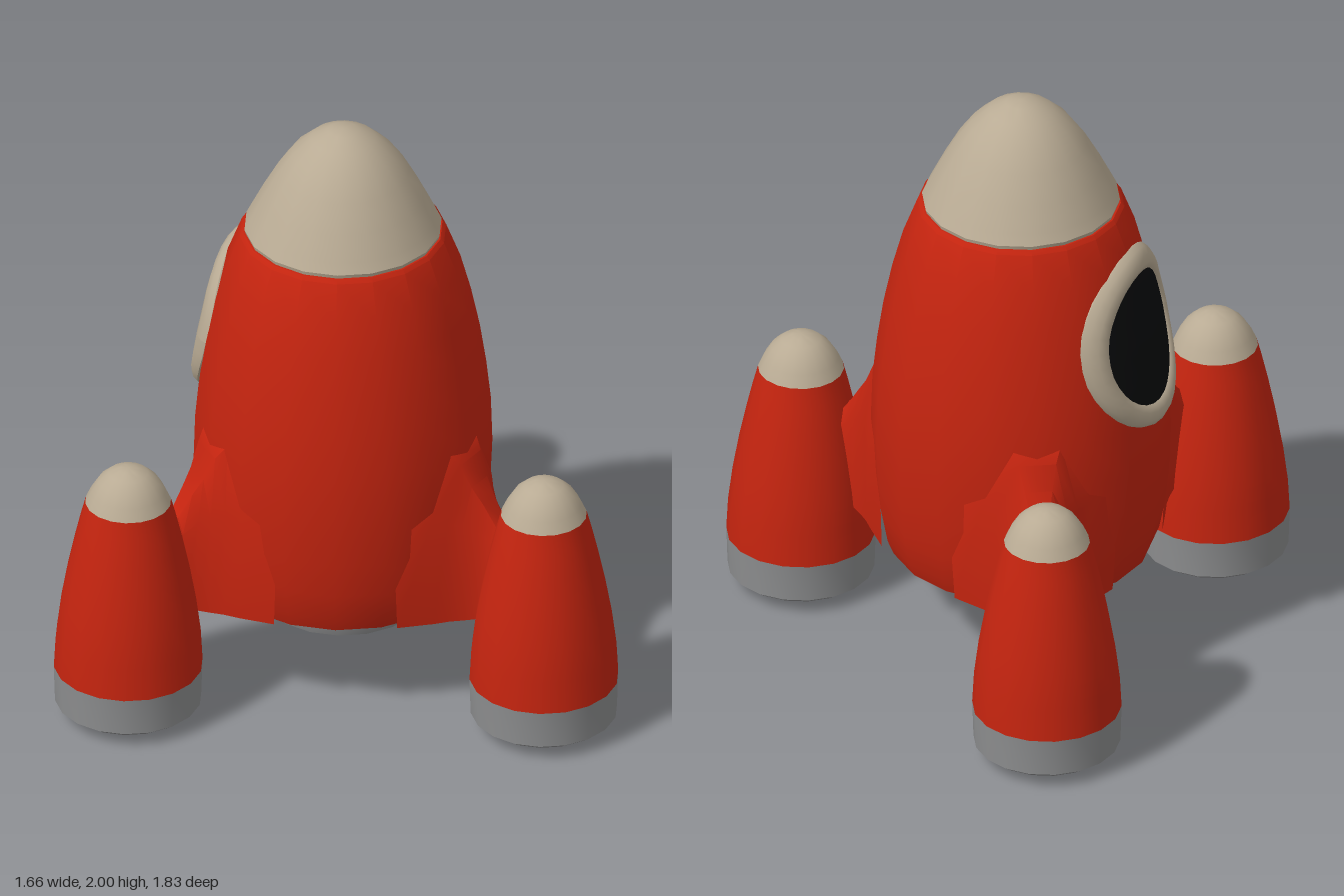
import * as THREE from 'three';
import { toCreasedNormals } from 'three/addons/utils/BufferGeometryUtils.js';

const SIDES = 18;
const AXIS_X = -0.2; // main hull axis
const WINDOW_Y = 1.21;

const material = (name, color, side = THREE.FrontSide) => {
  const m = new THREE.MeshStandardMaterial({ color, side });
  m.name = name;
  return m;
};

// Hull outline [radius, height], bottom to top
const HULL = [
  [0.43, 0.35], [0.45, 0.4], [0.469, 0.5], [0.481, 0.62], [0.488, 0.78], [0.483, 0.94],
  [0.468, 1.08], [0.447, 1.22], [0.418, 1.36], [0.383, 1.49], [0.337, 1.61],
];

function hullRadius(y) {
  for (let i = 1; i < HULL.length; i++) {
    const [r0, y0] = HULL[i - 1], [r1, y1] = HULL[i];
    if (y <= y1) return r0 + (r1 - r0) * (y - y0) / (y1 - y0);
  }
  return HULL[HULL.length - 1][0];
}

function addMesh(parent, name, geometry, mat) {
  const mesh = new THREE.Mesh(geometry, mat);
  mesh.name = name;
  parent.add(mesh);
  return mesh;
}

function lathe(points) {
  const profile = points.map(([r, y]) => new THREE.Vector2(r, y));
  return toCreasedNormals(new THREE.LatheGeometry(profile, SIDES, Math.PI / 2), 0.5);
}

// Wrap a flat shape (facing +z) onto the hull's -x side
function wrapOnHull(geometry) {
  const p = geometry.attributes.position;
  for (let i = 0; i < p.count; i++) {
    const z = p.getX(i) * 0.95, y = p.getY(i) + WINDOW_Y, lift = p.getZ(i);
    const r = hullRadius(y);
    p.setXYZ(i, -Math.sqrt(r * r - z * z) - lift, y, z);
  }
  geometry.computeVertexNormals();
  return geometry;
}

// Flared strut lofted outward from hull to booster
function strutGeometry() {
  // [distance, half width, bottom, shoulder, top]
  const sections = [
    [0.38, 0.28, 0.355, 0.72, 0.99],
    [0.46, 0.18, 0.35, 0.74, 0.96],
    [0.495, 0.135, 0.35, 0.73, 0.91],
    [0.53, 0.1, 0.35, 0.71, 0.83],
    [0.565, 0.075, 0.355, 0.69, 0.775],
    [0.61, 0.057, 0.36, 0.65, 0.7],
    [0.68, 0.05, 0.37, 0.6, 0.65],
  ];
  const position = [], index = [];
  sections.forEach(([d, w, y0, ym, y1], i) => {
    const b = w * 0.92, t = w * 0.45;
    [[b, y0], [-b, y0], [-w, ym], [-t, y1], [t, y1], [w, ym]].forEach(([z, y], j) => {
      position.push(d, y, z);
      if (i === sections.length - 1) return;
      const a = i * 6 + j, n = i * 6 + (j + 1) % 6;
      index.push(a, n, a + 6, n, n + 6, a + 6);
    });
  });
  const g = new THREE.BufferGeometry();
  g.setAttribute('position', new THREE.Float32BufferAttribute(position, 3));
  g.setIndex(index);
  return toCreasedNormals(g, 0.7);
}

export function createModel() {
  const red = material('red paint', 0xc4240f);
  const cream = material('cream paint', 0xb9ab94);
  const grey = material('grey metal', 0x8c8d8e);
  const black = material('black glass', 0x090b0c, THREE.DoubleSide);

  const model = new THREE.Group();
  model.name = 'rocket';
  const rocket = new THREE.Group();
  rocket.name = 'rocketAssembly';
  rocket.position.x = AXIS_X;
  model.add(rocket);

  // Main hull and nose
  addMesh(rocket, 'hull', lathe([[0.4, 0.35], ...HULL, [0.325, 1.622], [0.29, 1.622]]), red);
  addMesh(rocket, 'noseCone', lathe([
    [0.29, 1.618], [0.318, 1.62], [0.322, 1.635], [0.305, 1.67], [0.265, 1.75],
    [0.215, 1.84], [0.165, 1.91], [0.105, 1.965], [0.05, 1.993], [0, 2],
  ]), cream);

  // Recessed underside and main engine
  addMesh(rocket, 'undersideRecess', lathe([[0, 0.42], [0.33, 0.42], [0.402, 0.35]]), grey);
  addMesh(rocket, 'mainNozzle', lathe([
    [0, 0.34], [0.15, 0.34], [0.18, 0.23], [0.268, 0.23], [0.275, 0.25], [0.295, 0.36], [0.295, 0.43],
  ]), grey);

  // Round window
  addMesh(rocket, 'windowFrame',
    wrapOnHull(new THREE.TorusGeometry(0.26, 0.042, 10, 32).scale(1, 1, 0.75)), cream);
  addMesh(rocket, 'windowGlass',
    wrapOnHull(new THREE.RingGeometry(0.001, 0.25, 32, 6).translate(0, 0, 0.014)), black);

  // Three boosters on struts
  const boosterBody = lathe([
    [0.243, 0.18], [0.237, 0.29], [0.222, 0.41], [0.201, 0.53], [0.178, 0.64], [0.157, 0.73], [0.14, 0.795],
  ]);
  const boosterNose = lathe([
    [0.14, 0.795], [0.122, 0.835], [0.097, 0.875], [0.065, 0.903], [0.03, 0.917], [0, 0.921],
  ]);
  const boosterBase = lathe([
    [0.12, 0.06], [0.155, 0.06], [0.165, 0.028], [0.205, 0.028], [0.239, 0.052], [0.243, 0.18],
  ]);
  const boosterNozzle = lathe([[0, 0.05], [0.06, 0.05], [0.07, 0], [0.115, 0], [0.125, 0.02], [0.125, 0.062]]);
  const strut = strutGeometry();
  for (let i = 0; i < 3; i++) {
    const arm = new THREE.Group();
    arm.name = `boosterArm${i + 1}`;
    arm.rotation.y = i * Math.PI * 2 / 3;
    rocket.add(arm);
    addMesh(arm, 'strut', strut, red);
    const booster = new THREE.Group();
    booster.name = 'booster';
    booster.position.x = 0.78;
    arm.add(booster);
    addMesh(booster, 'boosterBody', boosterBody, red);
    addMesh(booster, 'boosterNose', boosterNose, cream);
    addMesh(booster, 'boosterBase', boosterBase, grey);
    addMesh(booster, 'boosterNozzle', boosterNozzle, grey);
  }
  return model;
}
